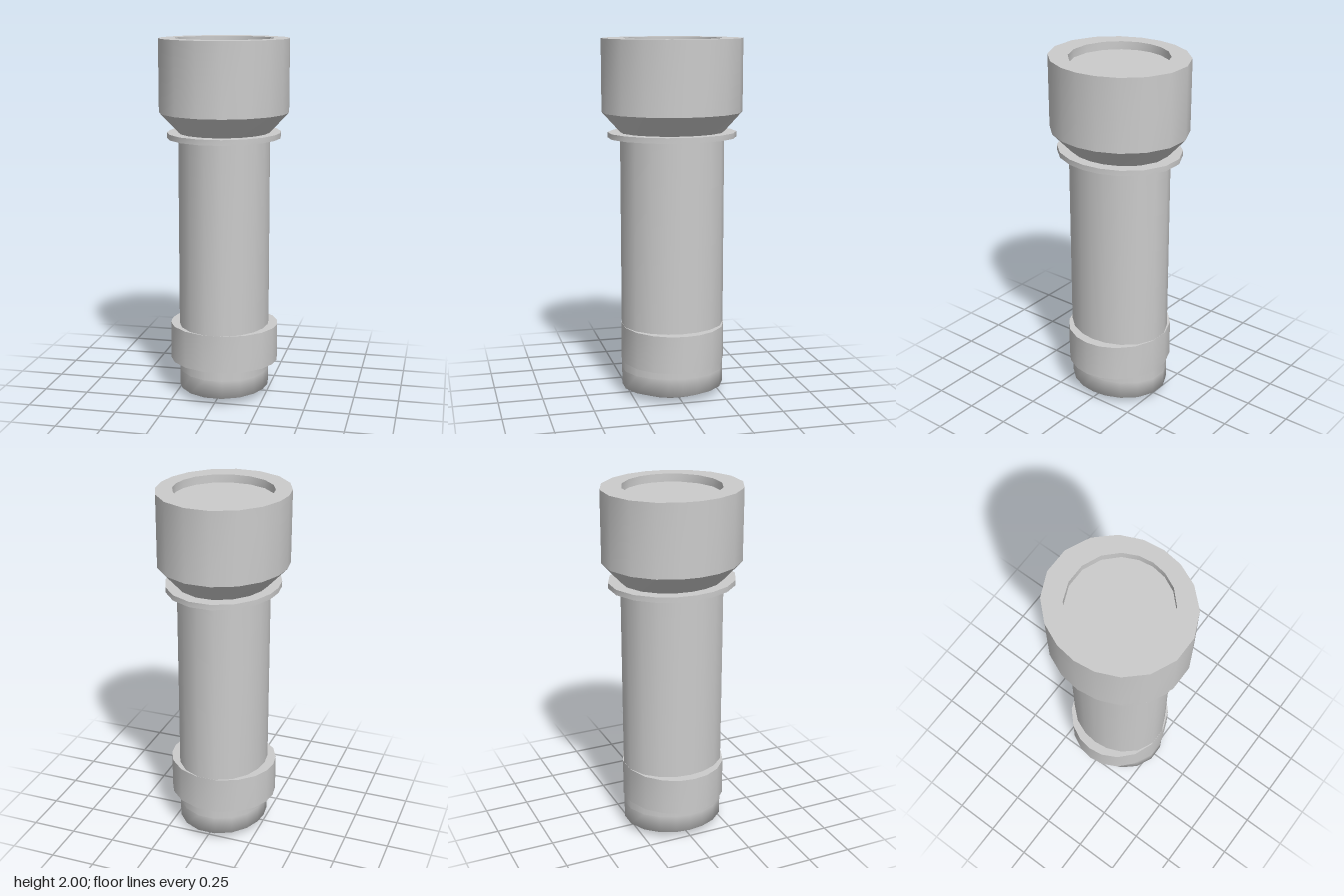
import * as THREE from 'three';
import { mergeGeometries } from 'three/addons/utils/BufferGeometryUtils.js';

// Eighteen-sided outline: one quadrant of angles, mirrored around
const quarter = [0, 16.3, 35, 56.2, 78.8];
const half = [...quarter, ...quarter.slice(1).reverse().map(a => 180 - a), 180];
const angles = [...half, ...half.slice(1, -1).map(a => a + 180)]
  .map(THREE.MathUtils.degToRad);

// Joins rings [y, rx, rz]; normals are smooth within one strip
function strip(rings, flat = false) {
  const n = angles.length, pos = [], index = [];
  for (const [y, rx, rz] of rings)
    for (const a of angles) pos.push(rx * Math.cos(a), y, rz * Math.sin(a));
  for (let r = 0; r < rings.length - 1; r++) {
    for (let i = 0; i < n; i++) {
      const j = (i + 1) % n;
      const a = r * n + i, b = r * n + j, c = a + n, d = b + n;
      if (rings[r][1] > 0) index.push(a, c, b);
      if (rings[r + 1][1] > 0) index.push(b, c, d);
    }
  }
  let g = new THREE.BufferGeometry();
  g.setAttribute('position', new THREE.Float32BufferAttribute(pos, 3));
  g.setIndex(index);
  if (flat) g = g.toNonIndexed();
  g.computeVertexNormals();
  return flat ? g : g.toNonIndexed();
}

// Short collar: underside, wall and top around the body
function collar(y0, y1, outer, inner) {
  return [
    strip([[y0, ...inner], [y0, ...outer]]),
    strip([[y0, ...outer], [y1, ...outer]]),
    strip([[y1, ...outer], [y1, ...inner]]),
  ];
}

export function createModel() {
  const group = new THREE.Group();
  const material = new THREE.MeshStandardMaterial({ color: 0xcccccc });
  const add = (name, strips) => {
    const mesh = new THREE.Mesh(mergeGeometries(strips), material);
    mesh.name = name;
    group.add(mesh);
  };

  const body = [0.252, 0.29], core = [0.22, 0.25];
  const head = [0.357, 0.39], hole = [0.271, 0.271], foot = [0.16, 0.185];

  // Barrel with a softly rounded, flat-bottomed end
  add('barrel', [
    strip([[0, 0, 0], [0, ...foot]]),
    strip([[0, ...foot], [0.04, ...body], [0.14, ...body]]),
    strip([[0.14, ...body], [1.49, ...body]]),
  ]);

  // Band that stands out at the left and right only
  add('gripBand', collar(0.19, 0.4, [0.305, 0.291], core));

  // Thin flange below the head
  add('flange', collar(1.46, 1.49, [0.312, 0.358], core));

  // Faceted taper, straight wall, rim and shallow recess
  add('head', [
    strip([[1.49, ...body], [1.6, ...head]], true),
    strip([[1.6, ...head], [2, ...head]]),
    strip([[2, ...head], [2, ...hole]]),
    strip([[2, ...hole], [1.955, ...hole]]),
  ]);

  // Lens at the floor of the recess
  add('lens', [strip([[1.955, ...hole], [1.955, 0, 0]])]);

  return group;
}
